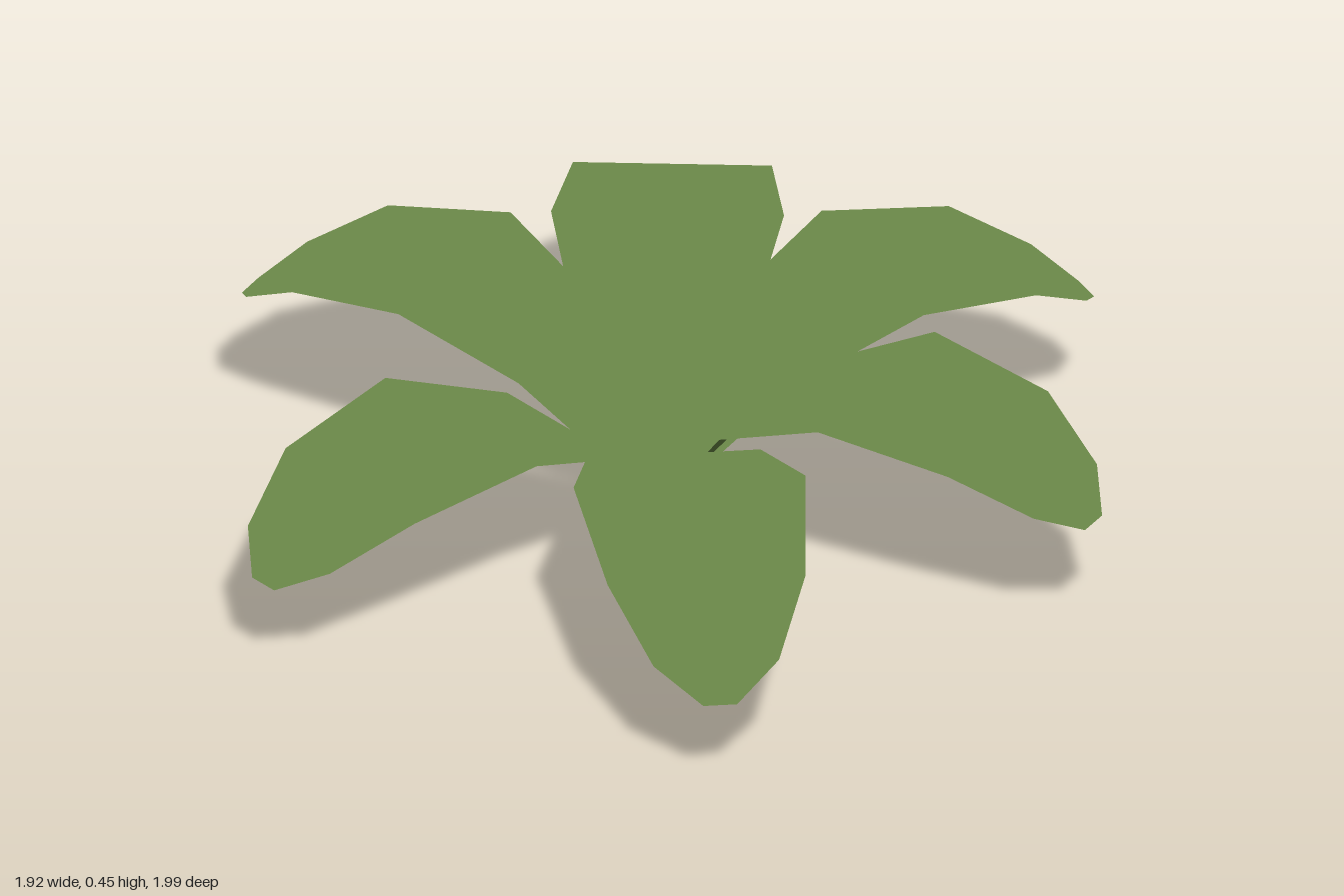
import * as THREE from 'three';

// Leaf cross-sections: [fraction of length, half width, height factor, droop]
const SECTIONS = [
  [0, 0.01, 0, 0],
  [0.24, 0.18, 0.715, 0],
  [0.5, 0.24, 1, 0],
  [0.78, 0.205, 1, 0.04],
  [0.935, 0.13, 1, 0.13],
  [1, 0.035, 1, 0.185],
];

// Each leaf: [name, heading around y (0 = +z), length, crest height]
const LEAVES = [
  ['frontLeaf', 0.09, 1.035, 0.44],
  ['frontLeftLeaf', 1.07, 0.98, 0.45],
  ['backLeftLeaf', 2.15, 0.98, 0.41],
  ['backLeaf', 3.255, 0.96, 0.44],
  ['rightLeaf', -1.82, 1.07, 0.395],
  ['frontRightLeaf', -0.85, 1.21, 0.4],
];

// One flat-across strip that rises from the root, crests and droops
function leafGeometry(length, crest) {
  const positions = [], normals = [], indices = [];
  SECTIONS.forEach(([t, halfWidth, rise, droop], i) => {
    const y = crest * rise - droop;
    for (const side of [-1, 1]) {
      positions.push(side * halfWidth, y, t * length);
      normals.push(0, 1, 0); // upward normals give even foliage shading
    }
    if (i > 0) {
      const a = 2 * i - 2;
      indices.push(a, a + 2, a + 1, a + 1, a + 2, a + 3);
    }
  });
  const geometry = new THREE.BufferGeometry();
  geometry.setAttribute('position', new THREE.Float32BufferAttribute(positions, 3));
  geometry.setAttribute('normal', new THREE.Float32BufferAttribute(normals, 3));
  geometry.setIndex(indices);
  return geometry;
}

export function createModel() {
  const group = new THREE.Group();
  group.name = 'plant';
  const leafGreen = new THREE.MeshStandardMaterial({ color: 0x6c8a49, side: THREE.DoubleSide });
  leafGreen.name = 'leafGreen';

  // Leaves fan out from one shared root point
  for (const [name, heading, length, crest] of LEAVES) {
    const leaf = new THREE.Mesh(leafGeometry(length, crest), leafGreen);
    leaf.name = name;
    leaf.position.set(0.08, 0, -0.04);
    leaf.rotation.y = heading;
    group.add(leaf);
  }
  return group;
}
